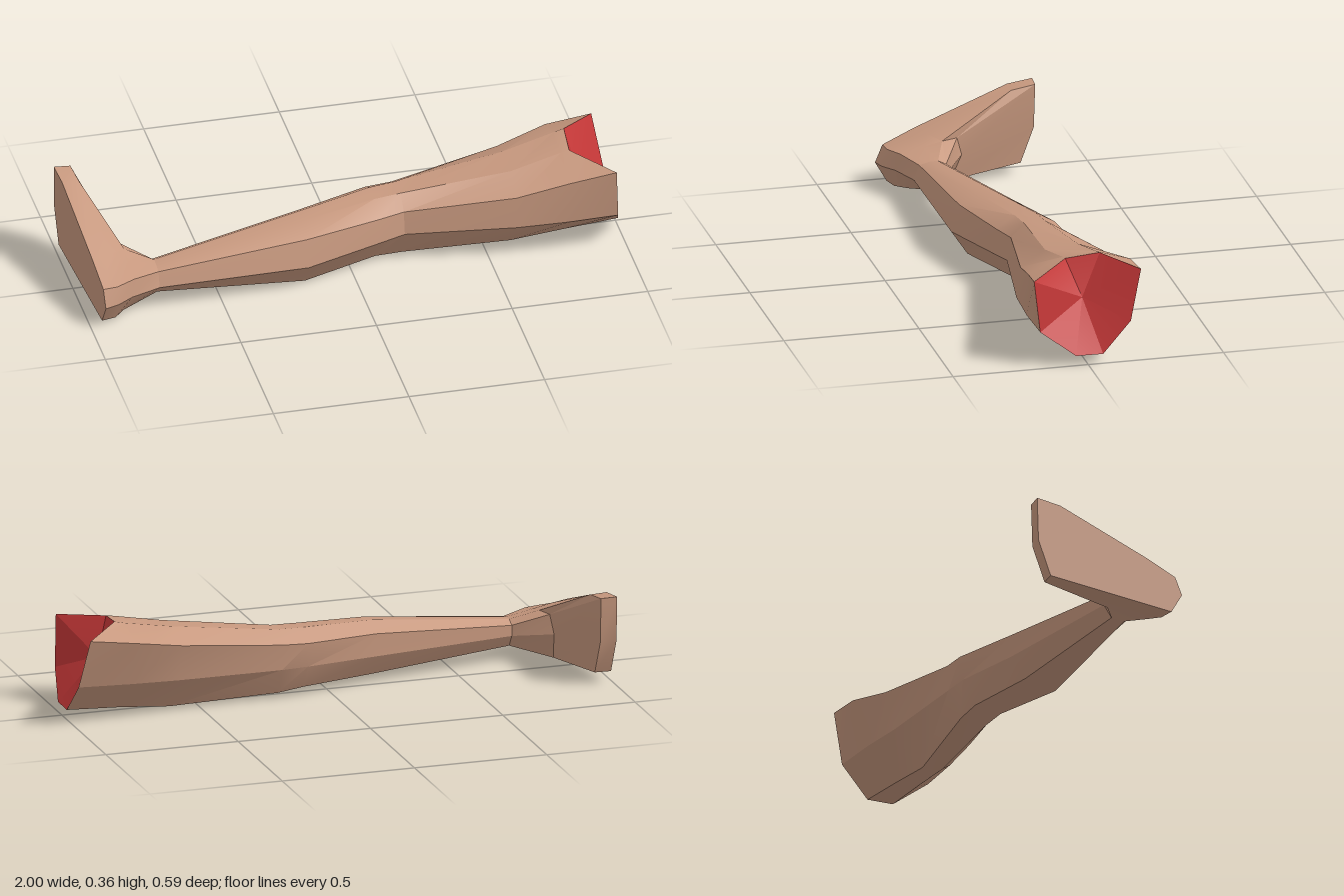
import * as THREE from 'three';
import { toCreasedNormals } from 'three/addons/utils/BufferGeometryUtils.js';

const skin = new THREE.MeshStandardMaterial({ color: 0xc8997f });
skin.name = 'skin';
const flesh = new THREE.MeshStandardMaterial({ color: 0xc63838 });
flesh.name = 'red flesh';

// A cross-section of eight [y, z] corners at a fixed x; a third number shifts a corner to its own x.
const ring = (x, pts) => pts.map(([y, z, own]) => new THREE.Vector3(own ?? x, y, z));

// Corner order: front top, top front, top back, back top, back low, bottom back, bottom front, front low.
const sole = ring(-0.97, [[0.15, 0.27], [0.2, 0.15], [0.325, -0.2], [0.335, -0.295], [0.17, -0.29], [0.04, -0.24], [0.01, 0.255], [0.085, 0.298]]);
sole.forEach((p) => { p.x = -0.975 - p.z * -0.085; });

const instep = ring(-0.9, [[0.15, 0.265], [0.2, 0.12, -0.89], [0.322, -0.2, -0.93], [0.333, -0.292, -0.94], [0.17, -0.287, -0.94], [0.04, -0.237, -0.935], [0.008, 0.24], [0.087, 0.285]]);
const heel = ring(-0.83, [[0.155, 0.235], [0.175, 0.15], [0.19, 0.08], [0.19, 0.02, -0.85], [0.12, 0, -0.86], [0.02, 0.04, -0.87], [0.01, 0.2, -0.86], [0.09, 0.25, -0.84]]);
const ankle = ring(-0.73, [[0.145, 0.19], [0.155, 0.15], [0.155, 0.12], [0.14, 0.09], [0.1, 0.09], [0.055, 0.12], [0.05, 0.17], [0.09, 0.21]]);
const calf = ring(-0.18, [[0.195, 0.18], [0.225, 0.1], [0.23, 0.04], [0.195, -0.02], [0.11, -0.02], [0.03, 0.03], [0.005, 0.15], [0.095, 0.21]]);
const kneeLow = ring(0.1, [[0.2, 0.115], [0.245, 0.045], [0.25, -0.03], [0.21, -0.1], [0.12, -0.09], [0.03, -0.04], [0.015, 0.06], [0.11, 0.13]]);
const kneeHigh = ring(0.2, [[0.2, 0.085], [0.25, 0.035], [0.255, -0.04], [0.215, -0.105], [0.12, -0.1], [0.02, -0.05], [0.012, 0.05], [0.115, 0.1]]);
const thigh = ring(0.6, [[0.24, 0.15], [0.3, 0.06], [0.312, -0.06], [0.27, -0.165], [0.13, -0.13], [0, -0.02], [0.01, 0.06], [0.125, 0.165]]);
const thighTop = ring(0.79, [[0.285, 0.17], [0.34, 0.042], [0.35, -0.083], [0.31, -0.208], [0.14, -0.15], [0.02, -0.035], [0.022, 0.05], [0.128, 0.175]]);
const rim = ring(0.96, [[0.32, 0.19], [0.345, 0.04, 0.82], [0.36, -0.085, 0.83], [0.333, -0.205], [0.15, -0.16, 0.99], [0.036, -0.055, 1], [0.037, 0.045, 1], [0.128, 0.17, 0.97]]);

// Collect triangles into a mesh with lightly creased normals
function meshFrom(tris, material, name) {
  const geo = new THREE.BufferGeometry().setFromPoints(tris);
  const mesh = new THREE.Mesh(toCreasedNormals(geo, 0.4), material);
  mesh.name = name;
  return mesh;
}

// Skin stretched between successive cross-sections
function loft(rings) {
  const tris = [];
  for (let i = 0; i < rings.length - 1; i++) {
    const p = rings[i], q = rings[i + 1];
    for (let j = 0; j < p.length; j++) {
      const k = (j + 1) % p.length;
      tris.push(p[j], q[j], q[k], p[j], q[k], p[k]);
    }
  }
  return tris;
}

// Fan closing a ring; facing is -1 for the -x end and +1 for the +x end
function cap(loop, centre, facing) {
  const tris = [];
  loop.forEach((a, j) => {
    const b = loop[(j + 1) % loop.length];
    if (facing < 0) tris.push(centre, a, b);
    else tris.push(centre, b, a);
  });
  return tris;
}

export function createModel() {
  const group = new THREE.Group();
  group.name = 'leg';

  // Foot with its flat sole
  const soleCentre = new THREE.Vector3(-0.975, 0.13, 0);
  group.add(meshFrom([...cap(sole, soleCentre, -1), ...loft([sole, instep, heel, ankle])], skin, 'foot'));

  // Shin, knee and thigh
  group.add(meshFrom(loft([ankle, calf, kneeLow, kneeHigh, thigh, thighTop, rim]), skin, 'legSkin'));

  // Hollowed cut at the top of the thigh
  group.add(meshFrom(cap(rim, new THREE.Vector3(0.87, 0.21, -0.01), 1), flesh, 'cutEnd'));
  return group;
}
